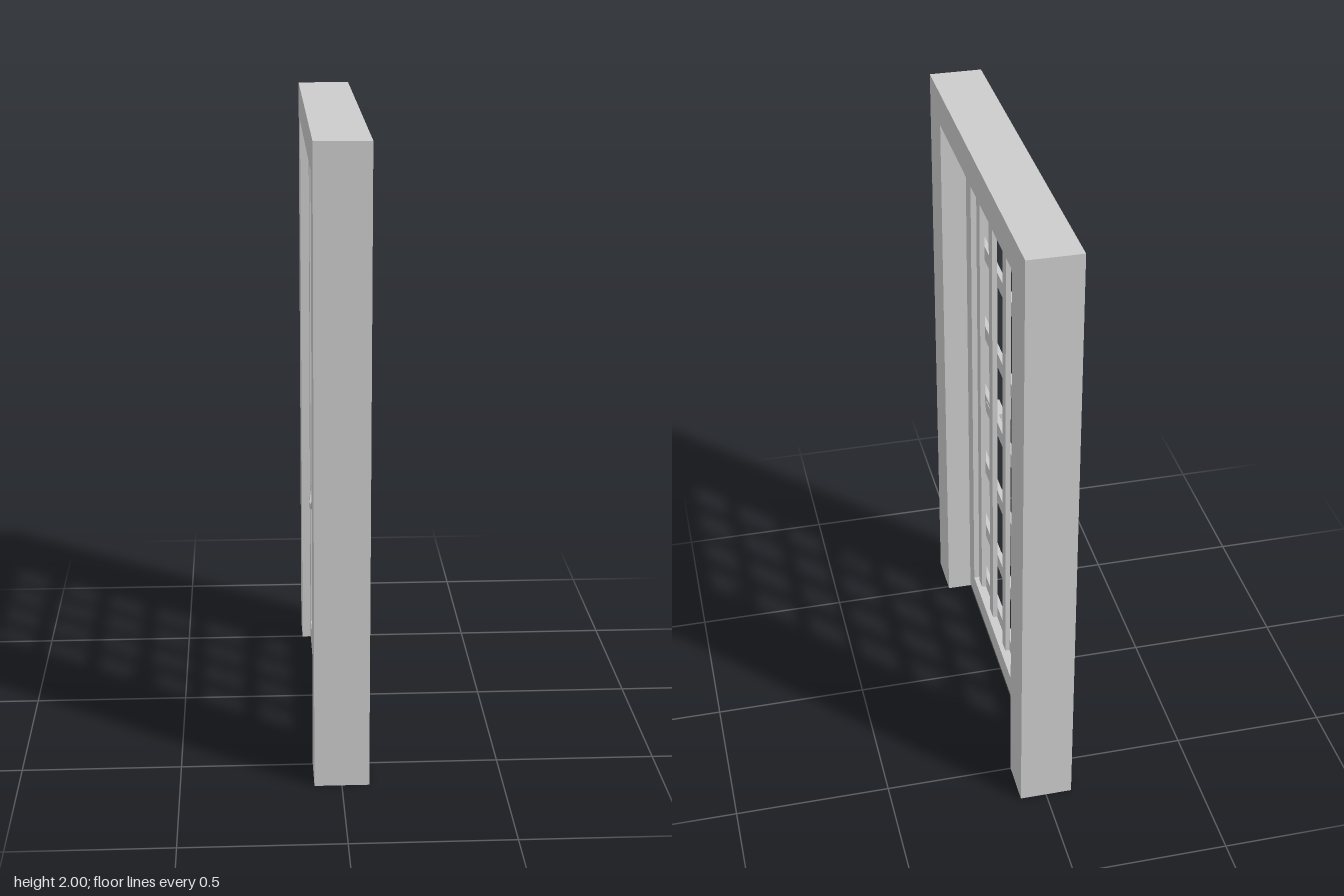
import * as THREE from 'three';

const material = new THREE.MeshStandardMaterial({ color: 0xcccccc, flatShading: true });

function add(parent, name, geometry, x = 0, y = 0, z = 0) {
  const mesh = new THREE.Mesh(geometry, material);
  mesh.name = name;
  mesh.position.set(x, y, z);
  parent.add(mesh);
  return mesh;
}

// Box given by its limits on each axis
function block(parent, name, [x0, x1], [y0, y1], [z0, z1]) {
  return add(parent, name, new THREE.BoxGeometry(x1 - x0, y1 - y0, z1 - z0),
    (x0 + x1) / 2, (y0 + y1) / 2, (z0 + z1) / 2);
}

// Outline in (-z, y), extruded along +x from x0 to x1
function plate(points, x0, x1, hole) {
  const toPoints = (list) => list.map(([u, v]) => new THREE.Vector2(u, v));
  const shape = new THREE.Shape(toPoints(points));
  if (hole) shape.holes.push(new THREE.Path(toPoints(hole)));
  return new THREE.ExtrudeGeometry(shape, { depth: x1 - x0, bevelEnabled: false })
    .rotateY(Math.PI / 2).translate(x0, 0, 0);
}

// Domed rivet head pointing along +x (dir 1) or -x (dir -1)
function rivet(parent, x, y, z, r, dir) {
  const dome = new THREE.SphereGeometry(r, 8, 3, 0, Math.PI * 2, 0, Math.PI / 2)
    .scale(1, 0.6, 1).rotateZ(-dir * Math.PI / 2);
  add(parent, 'rivet', dome, x, y, z);
}

export function createModel() {
  const model = new THREE.Group();
  model.name = 'barredDoor';

  // Surround: two jambs and a lintel, open at the floor
  add(model, 'doorSurround', plate([
    [-0.645, 0], [-0.49, 0], [-0.49, 1.89], [0.497, 1.89],
    [0.497, 0], [0.645, 0], [0.645, 2], [-0.645, 2],
  ], -0.085, 0.085));

  // Door leaf frame
  const door = new THREE.Group();
  door.name = 'door';
  model.add(door);
  add(door, 'leafFrame', plate(
    [[-0.48, 0.02], [0.477, 0.02], [0.477, 1.855], [-0.48, 1.855]], -0.057, 0.005,
    [[-0.41, 0.097], [-0.41, 1.783], [0.41, 1.783], [0.41, 0.097]]));

  // Grille: uprights in front, crossbars behind, rivets on the back
  const uprights = [0.37, 0.19, 0, -0.185, -0.37];
  const crossbars = [1.757, 1.488, 1.187, 0.915, 0.635, 0.358, 0.12];
  for (const z of uprights) {
    block(door, 'uprightBar', [-0.027, -0.01], [0.1, 1.755], [z - 0.023, z + 0.023]);
  }
  for (const y of crossbars) {
    block(door, 'crossbar', [-0.042, -0.026], [y - 0.025, y + 0.025], [-0.41, 0.41]);
    for (const z of uprights) rivet(door, -0.042, y, z, 0.014, -1);
  }

  // Strap hinges
  for (const y of [1.49, 0.36]) {
    const hinge = new THREE.Group();
    hinge.name = 'hinge';
    hinge.position.y = y;
    model.add(hinge);
    const half = [[0.235, 0.02], [0.25, 0.021], [0.29, 0.013], [0.34, 0.011],
      [0.38, 0.019], [0.415, 0.029], [0.44, 0.028], [0.455, 0.02], [0.465, 0.02]];
    const outline = [...half.map(([u, h]) => [u, -h]), ...half.slice().reverse()];
    add(hinge, 'strap', plate(outline, 0.004, 0.014));
    rivet(hinge, 0.014, 0, -0.427, 0.015, 1);
    for (const [y0, y1] of [[-0.113, -0.034], [-0.03, 0.03], [0.034, 0.113]]) {
      add(hinge, 'knuckle', new THREE.CylinderGeometry(0.013, 0.013, y1 - y0, 8),
        0.014, (y0 + y1) / 2, -0.464);
      if (y0 * y1 > 0) {
        block(hinge, 'jambPlate', [0.006, 0.022], [y0, y1], [-0.499, -0.468]);
      }
    }
    add(hinge, 'pin', new THREE.CylinderGeometry(0.007, 0.007, 0.226, 8), 0.014, 0, -0.464);
  }

  // Ring pull hanging from a bracket on the back of a crossbar
  const handle = new THREE.Group();
  handle.name = 'ringPull';
  handle.position.set(-0.058, 0.898, 0.278);
  model.add(handle);
  block(handle, 'bracket', [-0.012, 0.034], [-0.015, 0.028], [-0.046, 0.046]);
  add(handle, 'pivot', new THREE.CylinderGeometry(0.01, 0.01, 0.11, 8).rotateX(Math.PI / 2));
  const ring = add(handle, 'ring', new THREE.TorusGeometry(0.055, 0.0095, 6, 14)
    .rotateY(Math.PI / 2).translate(0, -0.055, 0));
  ring.rotation.z = -0.17;

  return model;
}
